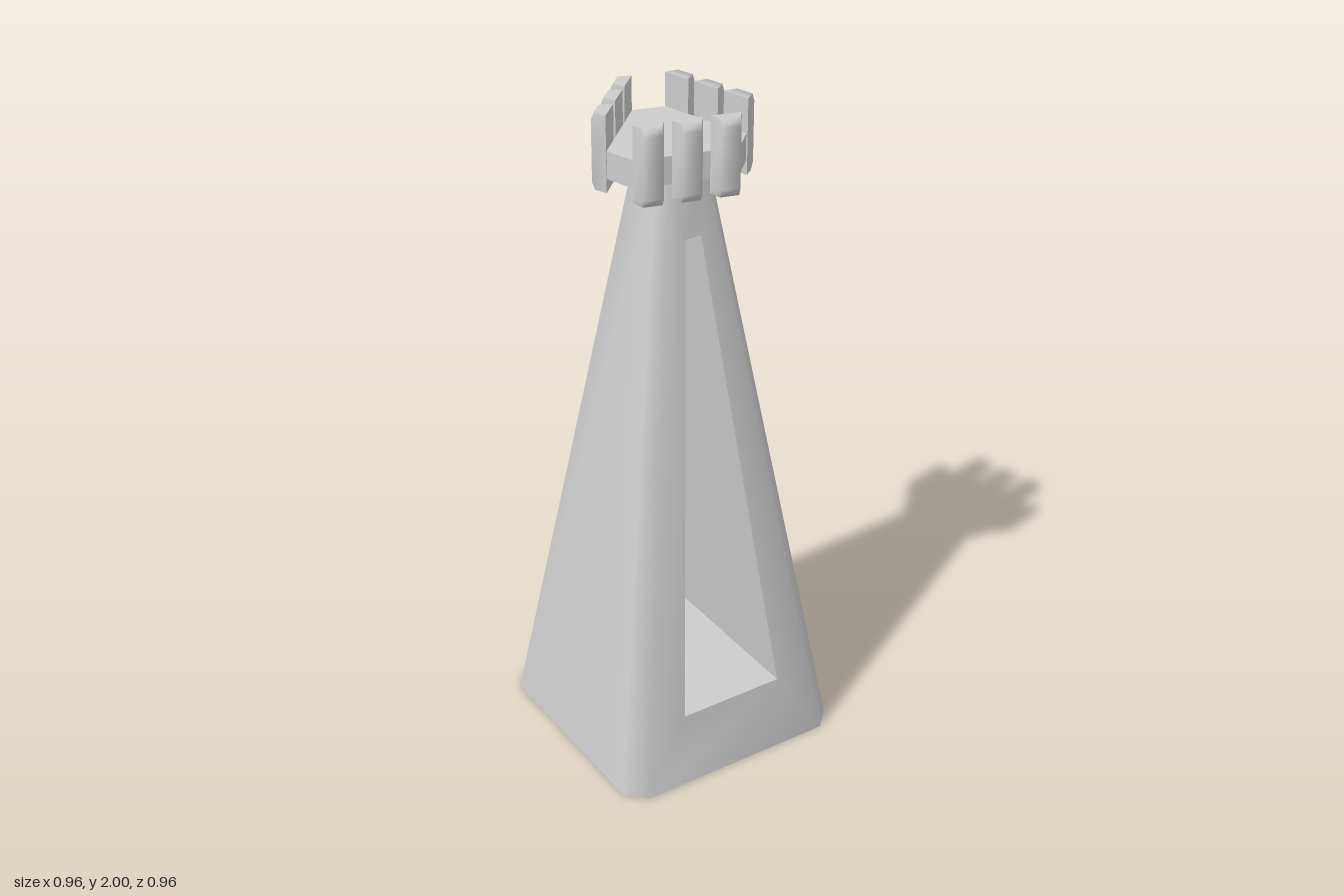
import * as THREE from 'three';
import { toCreasedNormals } from 'three/addons/utils/BufferGeometryUtils.js';

// Collects quads (corners counterclockwise from outside) into one creased geometry
function fromQuads(quads, crease) {
  const pos = [];
  for (const [a, b, c, d] of quads) pos.push(...a, ...b, ...c, ...a, ...c, ...d);
  const g = new THREE.BufferGeometry();
  g.setAttribute('position', new THREE.Float32BufferAttribute(pos, 3));
  return toCreasedNormals(g, crease);
}

const BODY_TOP = 1.82;
const faceDist = (y) => 0.368 + (0.085 - 0.368) * (y / BODY_TOP);
const faceHalf = (y) => 0.311 + (0.057 - 0.311) * (y / BODY_TOP);

// Square section with chamfered corners at height y
function ring(y) {
  const d = faceDist(y), h = faceHalf(y);
  return [[h, d], [d, h], [d, -h], [h, -d], [-h, -d], [-d, -h], [-d, h], [-h, d]]
    .map(([x, z]) => [x, y, z]);
}

// Tapered tower with a tapered opening running through two opposite faces
function bodyGeometry() {
  const lo = ring(0), hi = ring(BODY_TOP), quads = [];
  const outline = [[-0.166, 0.22], [0.166, 0.22], [0.025, 1.64], [-0.025, 1.64]];
  const hole = (s) => outline.map(([x, y]) => [x * s, y, faceDist(y) * s]);
  for (let i = 0; i < 8; i++) {
    const j = (i + 1) % 8;
    const outer = [lo[i], lo[j], hi[j], hi[i]];
    if (i === 3 || i === 7) {
      // Frame around the opening
      const inner = hole(i === 7 ? 1 : -1);
      for (let k = 0; k < 4; k++) {
        const n = (k + 1) % 4;
        quads.push([outer[k], outer[n], inner[n], inner[k]]);
      }
    } else quads.push(outer);
  }
  // Walls inside the opening
  for (let k = 0; k < 4; k++) {
    const [x0, y0] = outline[k], [x1, y1] = outline[(k + 1) % 4];
    const z0 = faceDist(y0), z1 = faceDist(y1);
    quads.push([[x0, y0, z0], [x1, y1, z1], [x1, y1, -z1], [x0, y0, -z0]]);
  }
  // Bottom and top caps, each as three strips
  for (const [r, up] of [[lo, false], [hi, true]]) {
    for (const [a, b, c, d] of [[7, 0, 3, 4], [0, 1, 2, 3], [6, 7, 4, 5]]) {
      const q = [r[a], r[b], r[c], r[d]];
      quads.push(up ? q : q.reverse());
    }
  }
  return fromQuads(quads, 1.0);
}

// Battlement block: trapezoid plan, outer side pulled in at both ends; faces -x
function toothGeometry() {
  const rows = [[1.78, 0.036], [1.802, 0.044], [1.978, 0.044], [2, 0.036]];
  const rings = rows.map(([y, depth]) => [
    [0, y, -0.043], [-depth, y, -0.027], [-depth, y, 0.027], [0, y, 0.043],
  ]);
  const quads = [];
  for (let r = 0; r < 3; r++) {
    for (let k = 0; k < 4; k++) {
      const n = (k + 1) % 4, a = rings[r], b = rings[r + 1];
      quads.push([a[k], a[n], b[n], b[k]]);
    }
  }
  quads.push([...rings[0]].reverse(), rings[3]);
  return fromQuads(quads, 1.3);
}

export function createModel() {
  const model = new THREE.Group();
  model.name = 'tower';
  const stone = new THREE.MeshStandardMaterial({ color: 0xcccccc });
  stone.name = 'pale grey';

  const body = new THREE.Mesh(bodyGeometry(), stone);
  body.name = 'body';
  body.rotation.y = Math.PI / 4;
  model.add(body);

  // Six-sided platform (shape y becomes -z once laid flat)
  const plan = [[-0.141, -0.148], [-0.057, -0.196], [0.197, -0.049],
    [0.197, 0.049], [-0.057, 0.196], [-0.141, 0.148]];
  const slab = new THREE.ExtrudeGeometry(
    new THREE.Shape(plan.map(([x, y]) => new THREE.Vector2(x, y))),
    { depth: 0.08, bevelEnabled: false });
  slab.rotateX(-Math.PI / 2);
  const platform = new THREE.Mesh(slab, stone);
  platform.name = 'platform';
  platform.position.y = BODY_TOP;
  model.add(platform);

  // Three battlement blocks on each of the three long sides
  const tooth = toothGeometry();
  for (let side = 0; side < 3; side++) {
    const battlement = new THREE.Group();
    battlement.name = 'battlement';
    battlement.rotation.y = (side * Math.PI * 2) / 3;
    for (const z of [-0.107, 0, 0.107]) {
      const block = new THREE.Mesh(tooth, stone);
      block.name = 'battlementBlock';
      block.position.set(-0.142, 0, z);
      battlement.add(block);
    }
    model.add(battlement);
  }
  return model;
}
